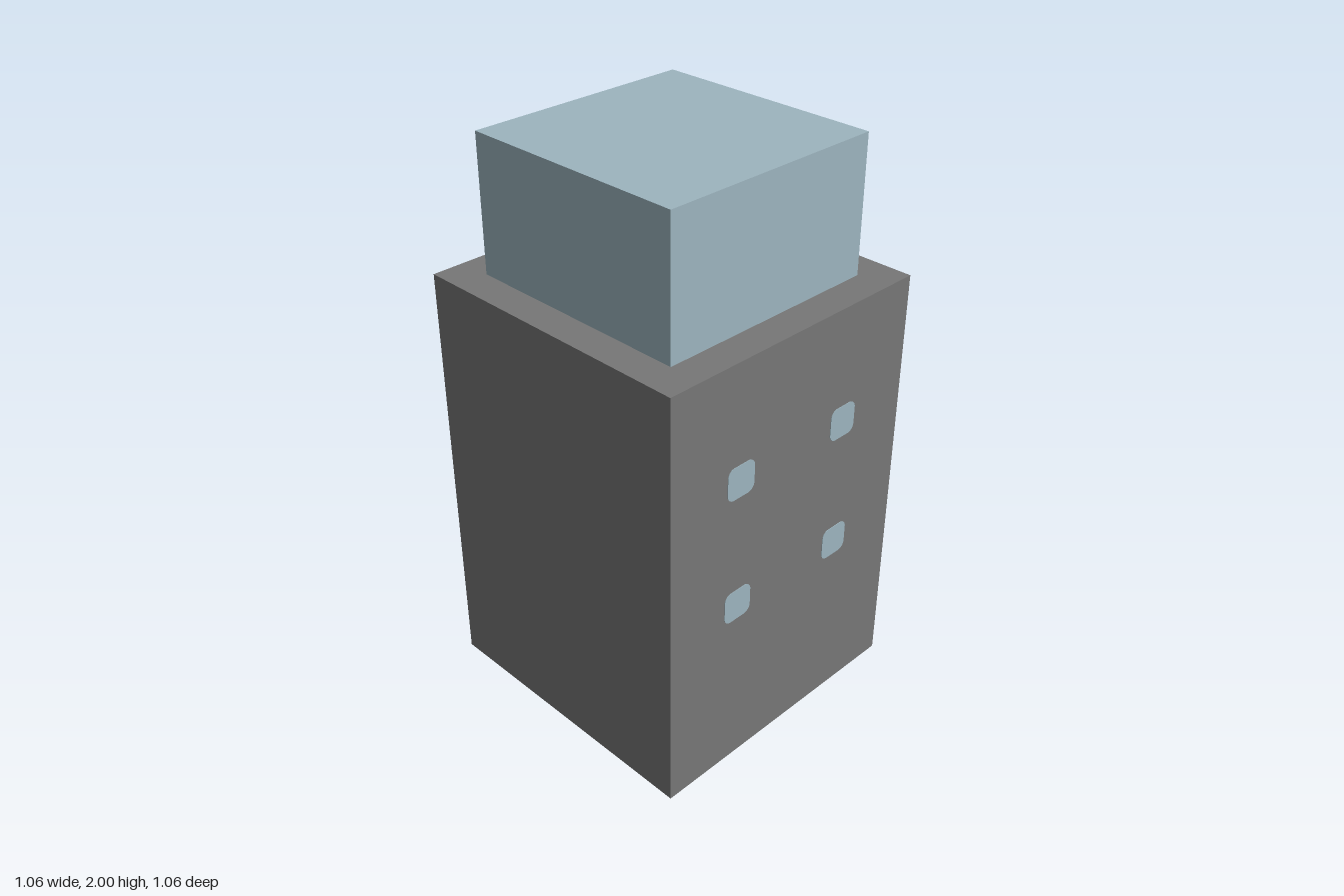
import * as THREE from 'three';

export function createModel() {
  const model = new THREE.Group();
  const stone = new THREE.MeshStandardMaterial({ name: 'grey', color: 0x777777 });
  const glass = new THREE.MeshStandardMaterial({ name: 'pale blue', color: 0x9db5bf });

  // Square block standing on height y
  const block = (name, width, height, y, material) => {
    const mesh = new THREE.Mesh(new THREE.BoxGeometry(width, height, width), material);
    mesh.name = name;
    mesh.position.y = y + height / 2;
    model.add(mesh);
  };
  const bodyWidth = 1.058, bodyHeight = 1.53;
  block('body', bodyWidth, bodyHeight, 0, stone);
  block('topBlock', 0.823, 2 - bodyHeight, bodyHeight, glass);

  // Small rounded window plate
  const h = 0.058, r = 0.028;
  const outline = new THREE.Shape();
  outline.absarc(h - r, h - r, r, 0, Math.PI / 2);
  outline.absarc(r - h, h - r, r, Math.PI / 2, Math.PI);
  outline.absarc(r - h, r - h, r, Math.PI, Math.PI * 1.5);
  outline.absarc(h - r, r - h, r, Math.PI * 1.5, Math.PI * 2);
  const plate = new THREE.ExtrudeGeometry(outline, { depth: 0.003, bevelEnabled: false, curveSegments: 5 });

  // Two rows of two windows on the front and the back
  for (const side of ['front', 'back']) {
    const windows = new THREE.Group();
    windows.name = side + 'Windows';
    if (side === 'back') windows.rotation.y = Math.PI;
    for (const x of [-0.235, 0.235]) {
      for (const y of [0.65, 1.12]) {
        const pane = new THREE.Mesh(plate, glass);
        pane.name = 'window';
        pane.position.set(x, y, bodyWidth / 2 - 0.001);
        windows.add(pane);
      }
    }
    model.add(windows);
  }
  return model;
}
